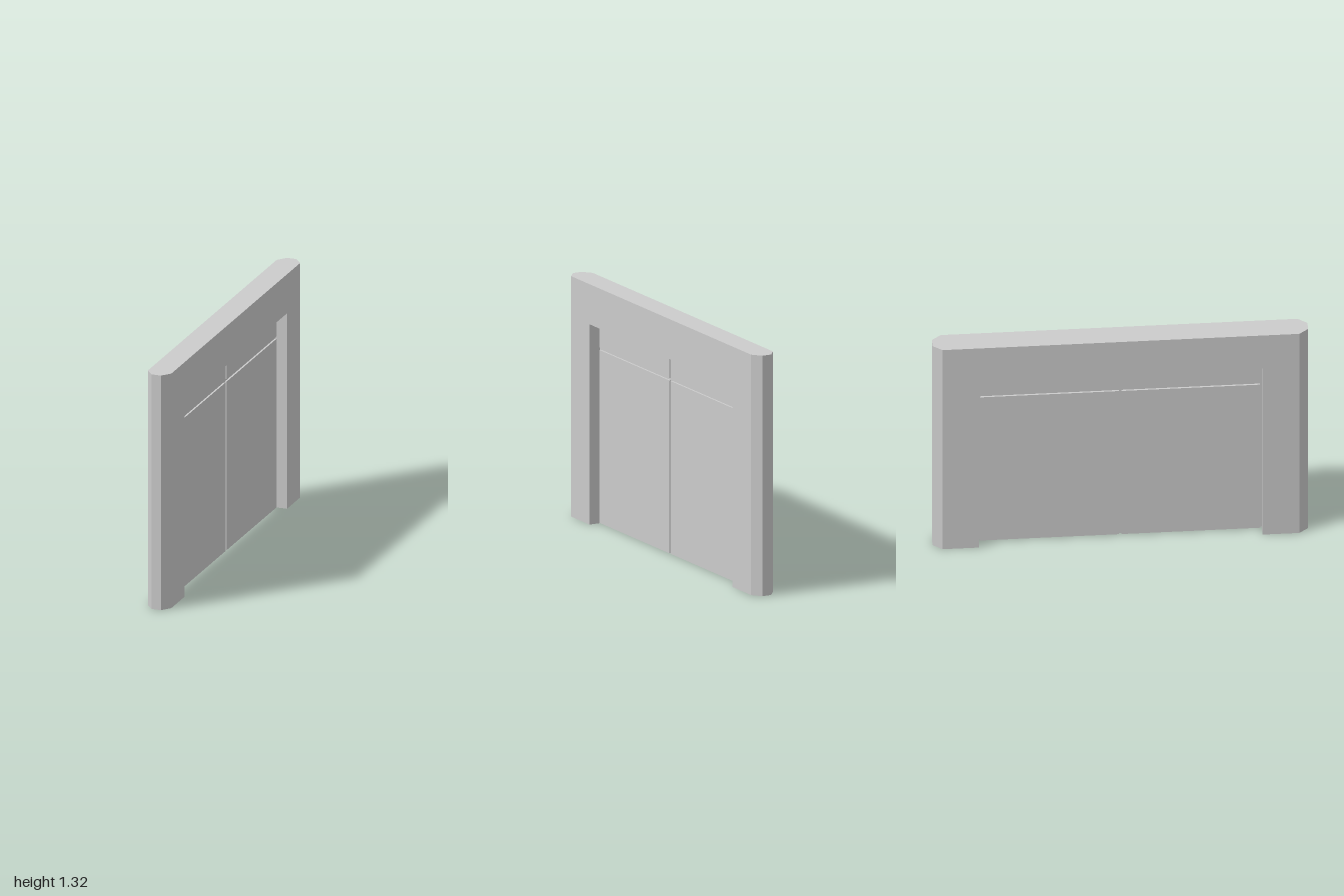
import * as THREE from 'three';

const HEIGHT = 1.32, HALF_X = 0.067, FLAT_Z = 0.95;
const OPEN_Z = 0.755, OPEN_Y = 1.1;

export function createModel() {
  const model = new THREE.Group();
  model.name = 'framedDoor';
  const material = new THREE.MeshStandardMaterial({ color: 0xcccccc, flatShading: true });

  function add(name, geometry, x = 0, y = 0, z = 0) {
    const mesh = new THREE.Mesh(geometry, material);
    mesh.name = name;
    mesh.position.set(x, y, z);
    model.add(mesh);
  }
  function polygon(points) {
    return new THREE.Shape(points.map(([x, y]) => new THREE.Vector2(x, y)));
  }

  // Surround: two posts and a lintel in one piece
  const surround = new THREE.ExtrudeGeometry(polygon([
    [-FLAT_Z, 0], [-OPEN_Z, 0], [-OPEN_Z, OPEN_Y], [OPEN_Z, OPEN_Y],
    [OPEN_Z, 0], [FLAT_Z, 0], [FLAT_Z, HEIGHT], [-FLAT_Z, HEIGHT],
  ]), { depth: 2 * HALF_X, bevelEnabled: false });
  surround.translate(0, 0, -HALF_X).rotateY(Math.PI / 2);
  add('surround', surround);

  // Chamfered ends of the wall, front and back
  for (const [name, turn] of [['backEnd', 0], ['frontEnd', Math.PI]]) {
    const end = new THREE.ExtrudeGeometry(polygon([
      [-HALF_X, FLAT_Z], [HALF_X, FLAT_Z], [0.027, 1], [-0.027, 1],
    ]), { depth: HEIGHT, bevelEnabled: false });
    end.rotateX(-Math.PI / 2).rotateY(turn);
    add(name, end);
  }

  // Thin core that shows in the grooves between the panels
  add('doorCore', new THREE.BoxGeometry(0.004, OPEN_Y - 0.005, 2 * OPEN_Z), 0, (OPEN_Y + 0.005) / 2, 0);

  // Raised door panels: a tall one and a low one above it in each half
  const inner = 0.007, outer = OPEN_Z - 0.009;
  for (const side of [1, -1]) {
    for (const [name, bottom, top] of [['doorPanel', 0.005, 0.954], ['transomPanel', 0.968, 1.092]]) {
      add(name, new THREE.BoxGeometry(0.024, top - bottom, outer - inner),
        0, (bottom + top) / 2, side * (inner + outer) / 2);
    }
  }

  return model;
}
